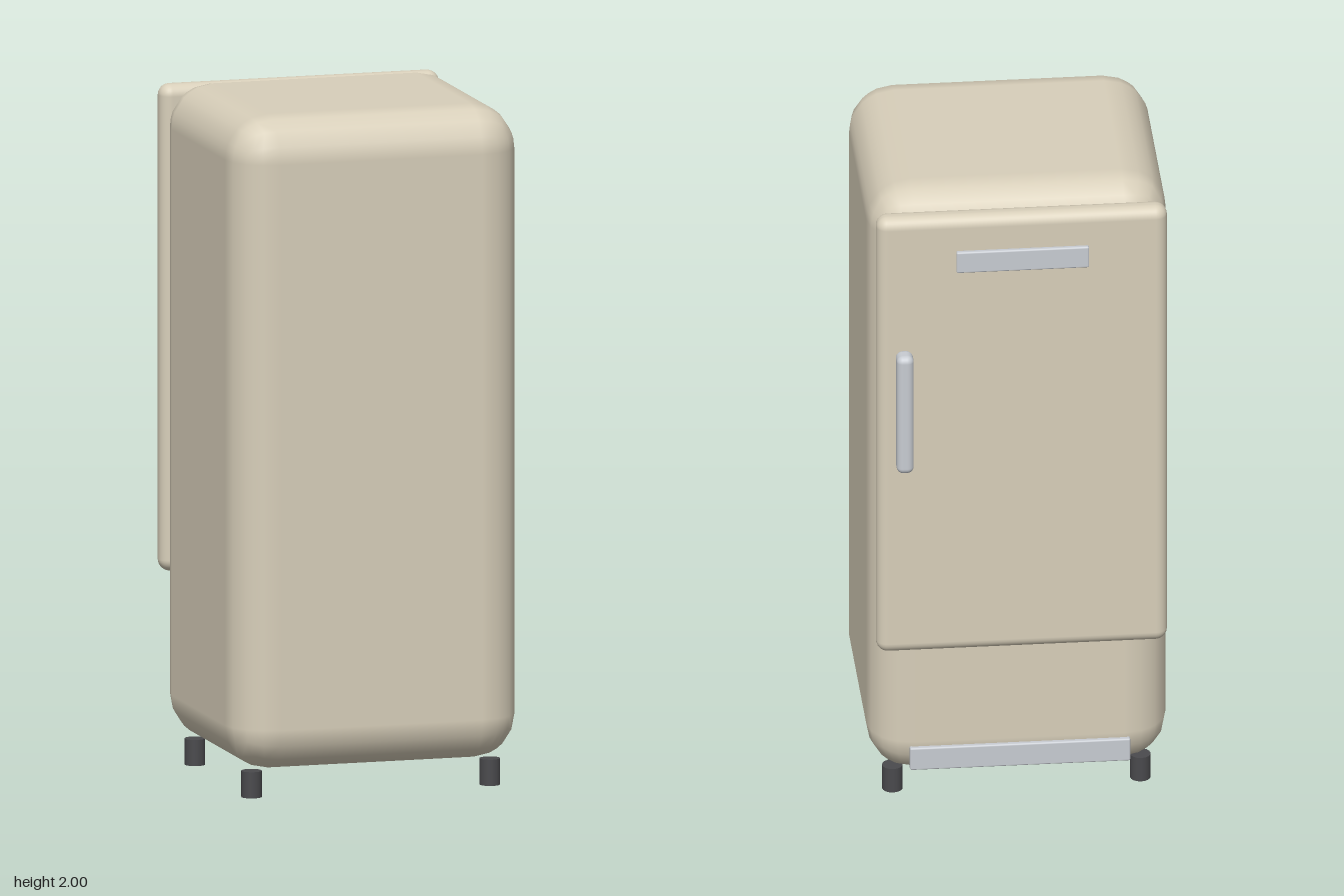
import * as THREE from 'three';
import { RoundedBoxGeometry } from 'three/addons/geometries/RoundedBoxGeometry.js';

const material = (name, color, side = THREE.FrontSide) => {
  const m = new THREE.MeshStandardMaterial({ color, side });
  m.name = name;
  return m;
};

// Rounded box shell with a rectangular opening in its -z side
function cabinetGeometry(half, r, hole) {
  const inner = half.map(h => h - r);
  const extra = [[-hole.x, hole.x], [hole.y0, hole.y1], []];
  const grids = half.map((h, i) => {
    const k = inner[i], t = k + r * Math.tan(Math.PI / 8);
    return [-h, -t, -k, k, t, h, ...extra[i]].sort((a, b) => a - b);
  });
  const pos = [], nor = [], idx = [];
  for (let a = 0; a < 3; a++) for (const s of [-1, 1]) {
    const u = (a + 1) % 3, v = (a + 2) % 3, gu = grids[u], gv = grids[v];
    const base = pos.length / 3, n = gv.length;
    for (const pu of gu) for (const pv of gv) {
      const p = [0, 0, 0];
      p[a] = s * half[a]; p[u] = pu; p[v] = pv;
      const core = p.map((c, i) => Math.max(-inner[i], Math.min(inner[i], c)));
      const d = new THREE.Vector3(...p.map((c, i) => c - core[i])).normalize();
      nor.push(d.x, d.y, d.z);
      pos.push(core[0] + d.x * r, core[1] + d.y * r, core[2] + d.z * r);
    }
    for (let i = 0; i < gu.length - 1; i++) for (let j = 0; j < n - 1; j++) {
      const cu = (gu[i] + gu[i + 1]) / 2, cv = (gv[j] + gv[j + 1]) / 2;
      if (a === 2 && s < 0 && Math.abs(cu) < hole.x && cv > hole.y0 && cv < hole.y1) continue;
      const A = base + i * n + j, B = A + n, C = B + 1, D = A + 1;
      if (s > 0) idx.push(A, B, C, A, C, D);
      else idx.push(A, C, B, A, D, C);
    }
  }
  const g = new THREE.BufferGeometry();
  g.setAttribute('position', new THREE.Float32BufferAttribute(pos, 3));
  g.setAttribute('normal', new THREE.Float32BufferAttribute(nor, 3));
  g.setIndex(idx);
  return g;
}

export function createModel() {
  const model = new THREE.Group();
  model.name = 'refrigerator';
  const cream = material('cream enamel', 0xd8cfba, THREE.DoubleSide);
  const chrome = material('light metal', 0xc8ccd2);
  const dark = material('dark rubber', 0x4a4a4d);
  const white = material('white liner', 0xe6e6e2);

  const add = (name, geometry, mat, x, y, z, parent = model) => {
    const mesh = new THREE.Mesh(geometry, mat);
    mesh.name = name;
    mesh.position.set(x, y, z);
    parent.add(mesh);
    return mesh;
  };
  const box = (name, mat, w, h, d, x, y, z, parent) =>
    add(name, new THREE.BoxGeometry(w, h, d), mat, x, y, z, parent);
  const rounded = (name, mat, w, h, d, r, x, y, z, parent) =>
    add(name, new RoundedBoxGeometry(w, h, d, 4, r), mat, x, y, z, parent);

  // Cabinet
  const hole = { x: 0.397, y0: -0.44, y1: 0.861 };
  add('cabinet', cabinetGeometry([0.435, 0.96, 0.395], 0.13, hole), cream, 0, 1.04, 0.07);

  // Compartment lining
  const liner = new THREE.Group();
  liner.name = 'liner';
  model.add(liner);
  for (const s of [-1, 1]) {
    box('linerSide', white, 0.01, 1.3, 0.6, s * 0.386, 1.25, 0.005, liner);
    box('linerEnd', white, 0.76, 0.01, 0.6, 0, 1.25 + s * 0.655, 0.005, liner);
  }
  box('linerBack', white, 0.76, 1.3, 0.01, 0, 1.25, 0.305, liner);

  // Wire shelves
  for (const y of [1.02, 1.45]) {
    const shelf = new THREE.Group();
    shelf.name = 'shelf';
    shelf.position.y = y;
    model.add(shelf);
    for (const z of [-0.32, 0.29]) box('shelfRail', chrome, 0.74, 0.01, 0.01, 0, 0, z, shelf);
    for (let i = 0; i < 13; i++) box('shelfWire', chrome, 0.01, 0.01, 0.6, -0.365 + i * 0.0608, 0, -0.015, shelf);
  }

  // Door with handle and trim plate
  const door = new THREE.Group();
  door.name = 'door';
  model.add(door);
  rounded('doorPanel', cream, 0.845, 1.43, 0.074, 0.034, 0, 1.26, -0.367, door);
  rounded('doorHandle', chrome, 0.05, 0.385, 0.062, 0.02, 0.345, 1.362, -0.437, door);
  rounded('doorTrim', chrome, 0.385, 0.068, 0.016, 0.005, 0, 1.835, -0.411, door);

  // Kick strip
  rounded('kickStrip', chrome, 0.64, 0.072, 0.022, 0.005, 0, 0.158, -0.324);

  // Feet
  for (const x of [-0.36, 0.36]) for (const z of [0.355, -0.21])
    add('foot', new THREE.CylinderGeometry(0.03, 0.03, 0.077, 16), dark, x, 0.0385, z);

  return model;
}
